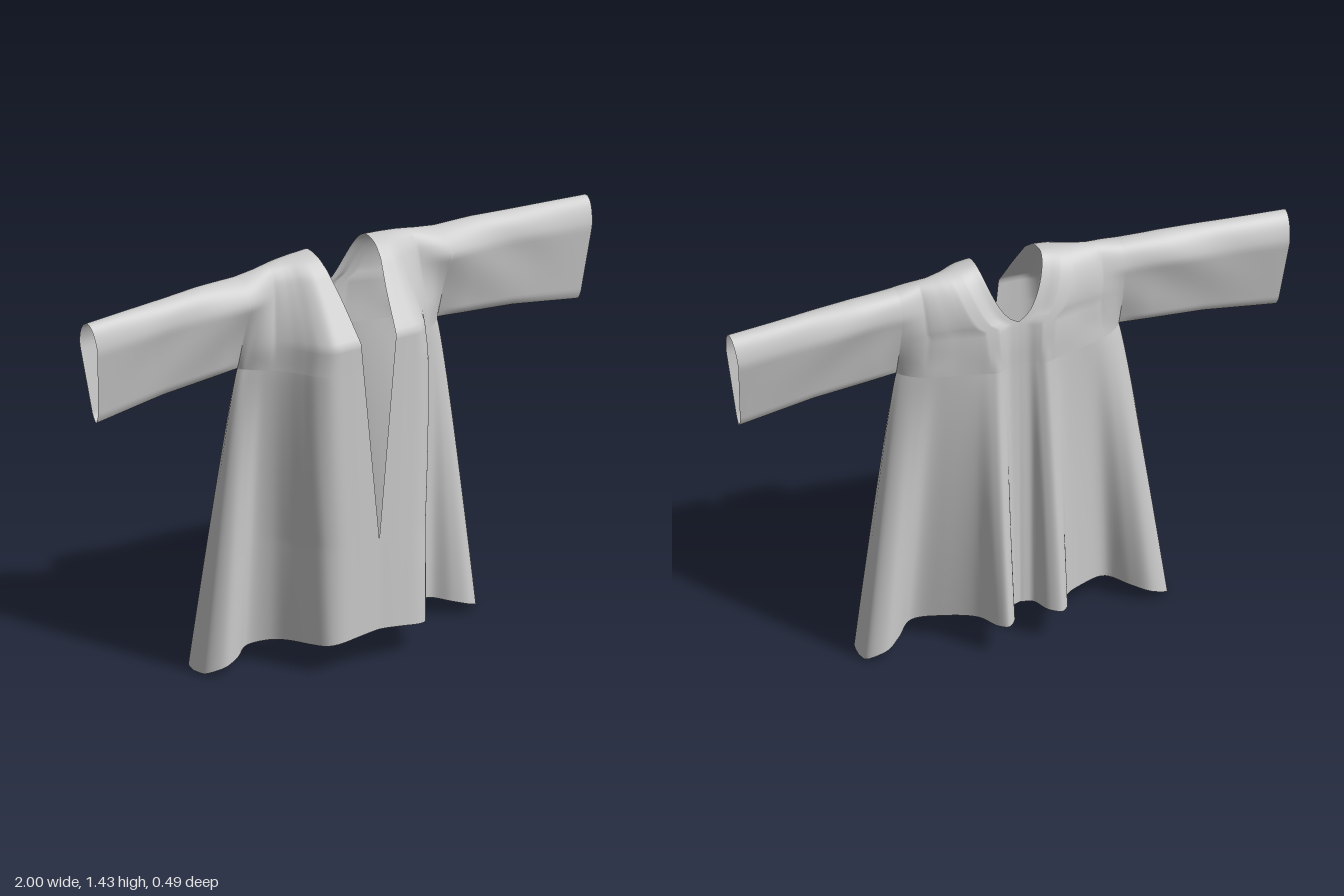
import * as THREE from 'three';
import { mergeGeometries, mergeVertices } from 'three/addons/utils/BufferGeometryUtils.js';

const { lerp, clamp, smoothstep } = THREE.MathUtils;
const ARM_Y = 1.07, ARM_X = 0.4, HEM_X = 0.55, SEAM_Z = -0.015, NECK_X = 0.115, TOP_Y = 1.435;

// half contours seen from above, centre line to side seam, as [x, z]
const curve = (pts) => new THREE.CatmullRomCurve3(pts.map(([x, z]) => new THREE.Vector3(x, 0, z)));
const contours = {
  front: {
    hem: curve([[0, .24], [.09, .243], [.16, .24], [.197, .22], [.228, .16], [.255, .09], [.295, .03], [.37, -.005], [.43, .035], [.49, .05], [.54, .01], [.55, -.05]]),
    arm: curve([[0, .235], [.07, .235], [.145, .228], [.19, .197], [.22, .153], [.25, .112], [.28, .082], [.315, .056], [.35, .032], [.375, .012], [.39, 0], [ARM_X, SEAM_Z]]),
  },
  back: {
    hem: curve([[0, -.13], [.032, -.143], [.057, -.22], [.088, -.246], [.118, -.22], [.155, -.14], [.25, -.065], [.35, -.02], [.415, -.08], [.475, -.12], [.538, -.1], [.55, -.05]]),
    arm: curve([[0, -.12], [.035, -.123], [.06, -.135], [.085, -.145], [.11, -.14], [.15, -.128], [.21, -.112], [.27, -.097], [.32, -.08], [.36, -.057], [.385, -.035], [ARM_X, SEAM_Z]]),
  },
};

// piecewise linear lookup
function ramp(x, pts) {
  for (let i = 1; i < pts.length; i++) {
    const [x0, y0] = pts[i - 1], [x1, y1] = pts[i];
    if (x <= x1) return lerp(y0, y1, clamp((x - x0) / (x1 - x0), 0, 1));
  }
  return pts[pts.length - 1][1];
}
const shoulderY = (x) => ramp(x, [[NECK_X, TOP_Y], [.25, 1.422], [.4, 1.4], [.55, 1.398], [1, 1.37]]);
const sleeveBottomY = (x) => ramp(x, [[ARM_X, ARM_Y], [.7, 1.045], [.96, 1.005]]);

// inner edge of each half: front slit and back neckline
function innerX(face, y) {
  if (face === 'front') return ramp(y, [[.45, 0], [1.17, .07], [1.3, .088], [TOP_Y, NECK_X]]);
  return NECK_X * Math.sqrt(clamp((y - 1.24) / (TOP_Y - 1.24), 0, 1));
}

// depth of the cloth above the underarm; v runs from underarm to shoulder line
function yokeZ(face, x, y, v, base, peak) {
  const round = (from) => Math.sqrt(Math.max(0, 1 - (Math.max(0, v - from) / (1 - from)) ** 2));
  const outer = smoothstep(x, .2, ARM_X);
  const bodyTop = face === 'front' ? (1 - .64 * clamp((v - .27) / .65, 0, 1)) * round(.85) : round(.15);
  const top = lerp(bodyTop, round(.7), outer);
  // teardrop sleeve section: narrow at the bottom, fullest near the top
  const lip = .22 * smoothstep(x, .37, .5);
  const teardrop = lip * Math.sqrt(Math.min(1, v / .08)) + (1 - lip) * Math.min(1, v / .75);
  const open = lerp(smoothstep(v, 0, .25), teardrop, outer);
  const crease = .005 * Math.sin(16 * x + 20 * y) * smoothstep(x, .15, .35) * (1 - smoothstep(x, .6, .95));
  return lerp(base, SEAM_Z + (peak - SEAM_Z + crease) * top, open);
}

function skirtPoint(face, sign, u, v) {
  const hem = contours[face].hem.getPoint(u), arm = contours[face].arm.getPoint(u);
  // the back fold on the right is wider and shallower
  if (face === 'back' && sign < 0) {
    const k = Math.exp(-(((hem.x - .1) / .07) ** 2)) * smoothstep(hem.x, 0, .06);
    hem.x += .025 * k;
    hem.z += .025 * k;
  }
  const f = clamp(hem.x / HEM_X, 0, 1);
  const y = lerp(.125 - .1 * f ** 1.4 - .022 * f ** 12, ARM_Y, v);
  const side = ARM_X + (HEM_X - ARM_X) * (1 - v) ** .85;
  const inner = innerX(face, y);
  const x = inner + lerp(f, arm.x / ARM_X, v) * (side - inner);
  return [x, y, lerp(hem.z, arm.z, v)];
}

function yokePoint(face, sign, u, r) {
  const v = (1 - Math.cos(Math.PI * r)) / 2;
  const arm = contours[face].arm.getPoint(u);
  const inner = innerX(face, lerp(ARM_Y, TOP_Y, v));
  const x = inner + lerp(arm.x / ARM_X, u, v) * (ARM_X - inner);
  const y = lerp(ARM_Y, shoulderY(x), v);
  const peak = face === 'front' ? Math.max(arm.z, .067) : clamp(arm.z, -.14, -.08);
  return [x, y, yokeZ(face, x, y, v, arm.z, peak)];
}

function sleevePoint(face, sign, u, r) {
  const v = (1 - Math.cos(Math.PI * r)) / 2;
  const x = lerp(ARM_X, lerp(.965, 1, v), u);
  const y = lerp(sleeveBottomY(x), shoulderY(x), v);
  const peak = face === 'front'
    ? ramp(x, [[.4, .067], [.55, .058], [.75, .042], [1, .033]])
    : ramp(x, [[.4, -.08], [.6, -.078], [1, -.075]]);
  return [x, y, yokeZ(face, x, y, v, SEAM_Z, peak)];
}

// grid of cloth from a point rule, wound to face outwards
function sheet(rule, face, sign, nu, nv) {
  const pos = [], index = [];
  const flip = (face === 'back') !== (sign < 0);
  for (let j = 0; j <= nv; j++) {
    for (let i = 0; i <= nu; i++) {
      const [x, y, z] = rule(face, sign, i / nu, j / nv);
      pos.push(x * sign, y, z);
      if (i === nu || j === nv) continue;
      const a = j * (nu + 1) + i, b = a + 1, c = a + nu + 1, d = c + 1;
      if (flip) index.push(a, d, b, a, c, d);
      else index.push(a, b, d, a, d, c);
    }
  }
  const g = new THREE.BufferGeometry();
  g.setAttribute('position', new THREE.Float32BufferAttribute(pos, 3));
  g.setIndex(index);
  return g;
}

export function createModel() {
  const group = new THREE.Group();
  group.name = 'tunic';
  const cloth = new THREE.MeshStandardMaterial({ color: 0xcccccc, side: THREE.DoubleSide });

  const add = (name, sheets) => {
    const geometry = mergeVertices(mergeGeometries(sheets), 1e-5);
    geometry.computeVertexNormals();
    const mesh = new THREE.Mesh(geometry, cloth);
    mesh.name = name;
    group.add(mesh);
  };

  // body: skirt and yoke, front and back, both halves
  const body = [];
  for (const sign of [1, -1]) {
    for (const face of ['front', 'back']) {
      body.push(sheet(skirtPoint, face, sign, 66, 60));
      body.push(sheet(yokePoint, face, sign, 66, 32));
    }
  }
  add('body', body);

  // sleeves, open at the cuff
  for (const [name, sign] of [['leftSleeve', 1], ['rightSleeve', -1]]) {
    add(name, ['front', 'back'].map((face) => sheet(sleevePoint, face, sign, 40, 32)));
  }
  return group;
}
